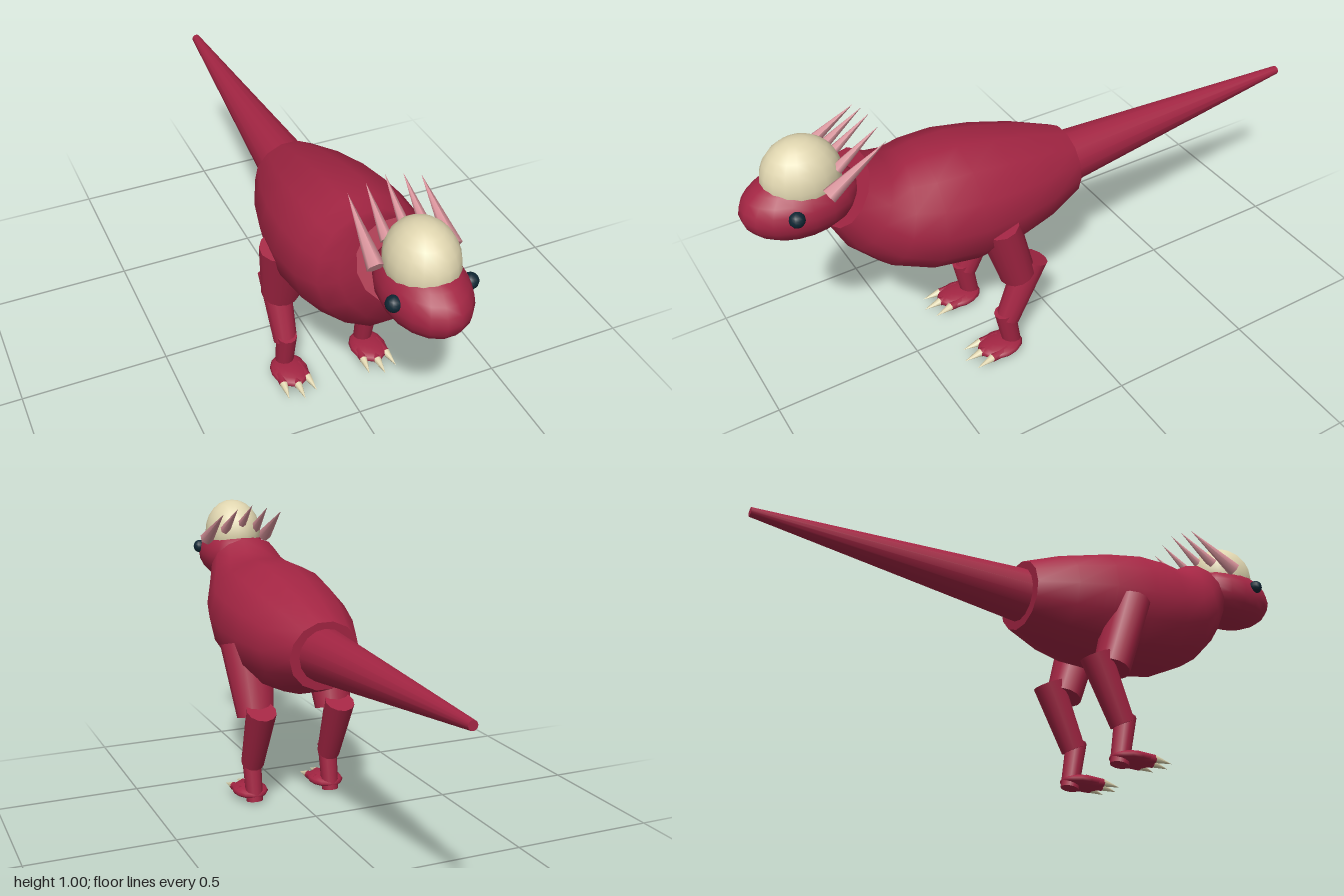
import * as THREE from 'three';

const mat = (name, color) => {
  const m = new THREE.MeshStandardMaterial({ color });
  m.name = name;
  return m;
};
const Y = new THREE.Vector3(0, 1, 0);

export function createModel() {
  const hide = mat('crimson hide', 0xa32543);
  const bone = mat('ivory bone', 0xe0d6b0);
  const horn = mat('pink horn', 0xd9939b);
  const eye = mat('dark eye', 0x0f2734);
  const model = new THREE.Group();
  model.name = 'domeHeadedDinosaur';

  function add(name, geometry, material, parent = model) {
    const mesh = new THREE.Mesh(geometry, material);
    mesh.name = name;
    parent.add(mesh);
    return mesh;
  }

  function ellipsoid(name, material, pos, radii, ws = 18, hs = 12, parent = model) {
    const mesh = add(name, new THREE.SphereGeometry(1, ws, hs), material, parent);
    mesh.position.set(...pos);
    mesh.scale.set(...radii);
    return mesh;
  }

  // Tapered cylinder or cone from point a to point b
  function limb(name, material, a, b, ra, rb, sides = 14, wide = 1, parent = model) {
    const p = new THREE.Vector3(...a), q = new THREE.Vector3(...b);
    const dir = q.clone().sub(p);
    const mesh = add(name, new THREE.CylinderGeometry(rb, ra, dir.length(), sides), material, parent);
    mesh.position.copy(p).add(q).multiplyScalar(0.5);
    mesh.quaternion.setFromUnitVectors(Y, dir.normalize());
    mesh.scale.x = wide;
    return mesh;
  }

  // Body: tilted elliptical rings [top z, top y, bottom z, bottom y, half width]
  const rings = [
    [-0.08, 0.715, -0.07, 0.48, 0.125],
    [0.06, 0.77, 0.05, 0.435, 0.178],
    [0.20, 0.81, 0.17, 0.412, 0.212],
    [0.33, 0.838, 0.32, 0.402, 0.225],
    [0.44, 0.84, 0.48, 0.432, 0.216],
    [0.50, 0.832, 0.62, 0.50, 0.19],
    [0.555, 0.848, 0.71, 0.595, 0.155],
    [0.615, 0.885, 0.755, 0.69, 0.127],
  ];
  const n = 14, pos = [], idx = [];
  rings.forEach(([tz, ty, bz, by, w], i) => {
    for (let j = 0; j < n; j++) {
      const t = (j / n) * Math.PI * 2, s = Math.sin(t) / 2;
      pos.push(Math.cos(t) * w, (ty + by) / 2 + s * (ty - by), (tz + bz) / 2 + s * (tz - bz));
      if (i < rings.length - 1) {
        const a = i * n + j, b = i * n + (j + 1) % n;
        idx.push(a, b, a + n, b, b + n, a + n);
      }
    }
  });
  const bodyGeo = new THREE.BufferGeometry();
  bodyGeo.setAttribute('position', new THREE.Float32BufferAttribute(pos, 3));
  bodyGeo.setIndex(idx);
  bodyGeo.computeVertexNormals();
  add('body', bodyGeo, hide);

  // Flat ends of the body
  function cap(name, [tz, ty, bz, by, w], turn) {
    const mesh = add(name, new THREE.CircleGeometry(1, n), hide);
    mesh.position.set(0, (ty + by) / 2, (tz + bz) / 2);
    mesh.scale.set(w, Math.hypot(tz - bz, ty - by) / 2, 1);
    mesh.rotation.x = Math.atan2(tz - bz, ty - by) + turn;
  }
  cap('rump', rings[0], Math.PI);
  cap('neckEnd', rings[rings.length - 1], 0);

  // Tail
  limb('tail', hide, [0, 0.598, -0.02], [0, 0.641, -1], 0.095, 0.015, 16);

  // Head and skull dome
  ellipsoid('head', hide, [0, 0.803, 0.82], [0.122, 0.107, 0.18]);
  ellipsoid('skullDome', bone, [0, 0.885, 0.805], [0.103, 0.12, 0.12]);

  // Row of horns behind the dome
  limb('middleHorn', horn, [0, 0.92, 0.71], [0, 1.012, 0.58], 0.017, 0, 6);
  for (const side of [1, -1]) {
    limb('innerHorn', horn, [side * 0.06, 0.905, 0.72], [side * 0.057, 1.0, 0.58], 0.019, 0, 6);
    limb('outerHorn', horn, [side * 0.117, 0.868, 0.772], [side * 0.112, 0.982, 0.583], 0.026, 0, 6);
    ellipsoid('eye', eye, [side * 0.114, 0.823, 0.872], [0.024, 0.024, 0.024], 12, 8);

    // Leg: thigh, shin, ankle, foot and three claws
    const leg = new THREE.Group();
    leg.name = side > 0 ? 'leftLeg' : 'rightLeg';
    leg.position.x = side * 0.147;
    model.add(leg);
    limb('thigh', hide, [0, 0.335, 0.188], [0, 0.583, 0.26], 0.06, 0.068, 14, 1.4, leg).scale.x = 1.2;
    const thigh = leg.children[0];
    thigh.scale.x = 1.22;
    // Widen the thigh toward the hip
    const tp = thigh.geometry.attributes.position;
    for (let i = 0; i < tp.count; i++) {
      const up = tp.getY(i) > 0;
      tp.setX(i, tp.getX(i) * (up ? 1.16 : 0.88));
    }
    limb('shin', hide, [0, 0.15, 0.225], [0, 0.37, 0.128], 0.042, 0.055, 12, 0.95, leg);
    limb('ankle', hide, [0, 0.013, 0.208], [0, 0.18, 0.237], 0.031, 0.036, 12, 0.95, leg);
    ellipsoid('foot', hide, [0, 0.039, 0.258], [0.063, 0.022, 0.08], 14, 8, leg);
    for (const k of [-1, 0, 1]) {
      const z = k ? 0.3 : 0.32;
      limb('toe', hide, [k * 0.036, 0.04, z - 0.05], [k * 0.043, 0.038, z + 0.015], 0.018, 0.014, 8, 1, leg);
      limb('claw', bone, [k * 0.043, 0.039, z + 0.012], [k * 0.05, 0.029, z + 0.075], 0.014, 0, 8, 1, leg);
    }
  }
  return model;
}
